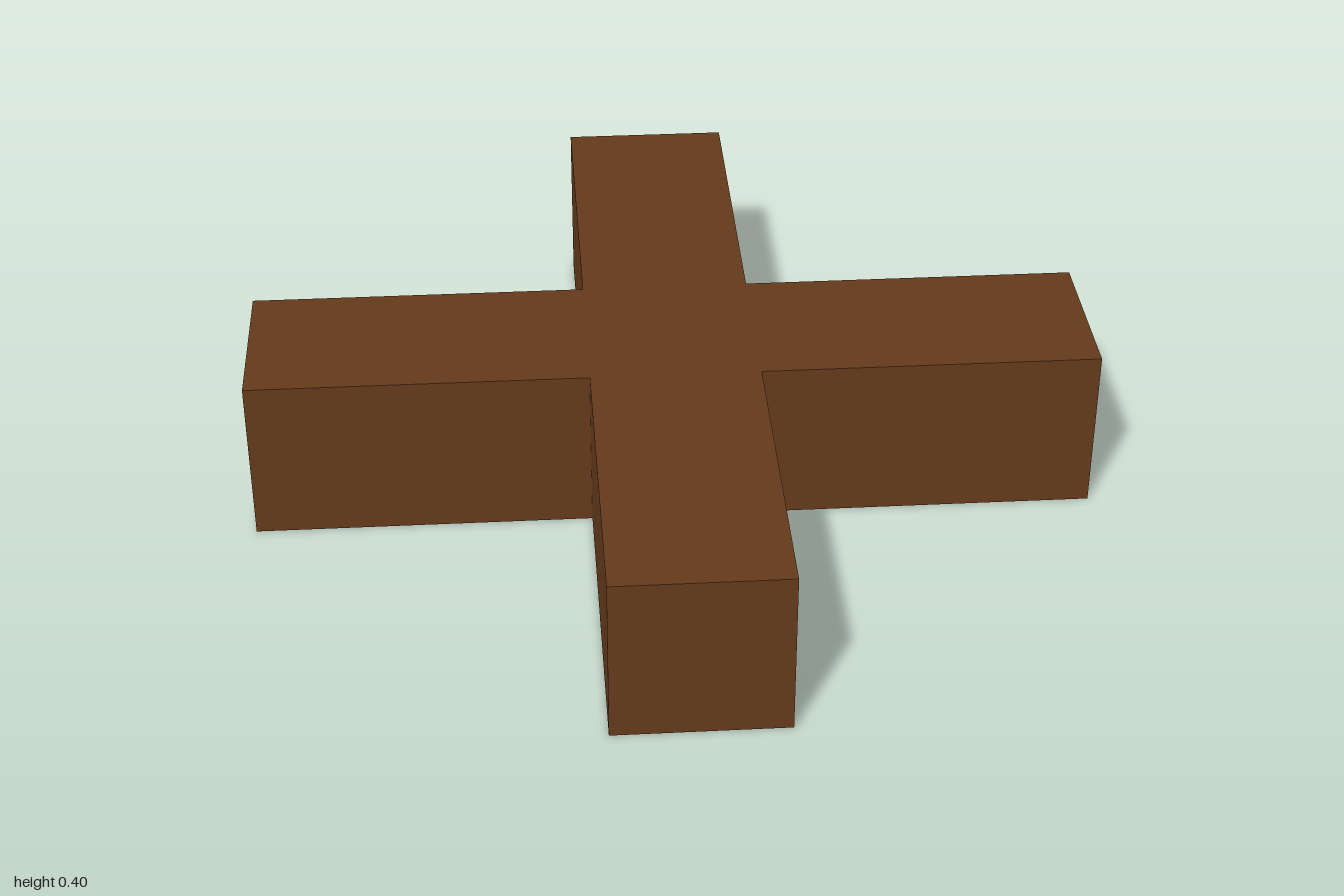
import * as THREE from 'three';

const ARM = 1;     // reach of each arm from the centre
const HALF = 0.2;  // half the beam width
const HEIGHT = 0.4;

// Plus-shaped outline: three corners per arm, turned in quarter steps
function crossShape() {
  const points = [];
  for (let i = 0; i < 4; i++) {
    for (const [x, y] of [[ARM, -HALF], [ARM, HALF], [HALF, HALF]]) {
      points.push(new THREE.Vector2(x, y).rotateAround(new THREE.Vector2(), i * Math.PI / 2));
    }
  }
  return new THREE.Shape(points);
}

export function createModel() {
  const group = new THREE.Group();
  group.name = 'crossedBeams';

  // Two square beams crossing as one solid, lying flat on the ground
  const geometry = new THREE.ExtrudeGeometry(crossShape(), { depth: HEIGHT, bevelEnabled: false });
  geometry.rotateX(-Math.PI / 2);
  const wood = new THREE.MeshStandardMaterial({ color: 0x643a1b });
  const beams = new THREE.Mesh(geometry, wood);
  beams.name = 'woodenCross';
  group.add(beams);

  return group;
}
